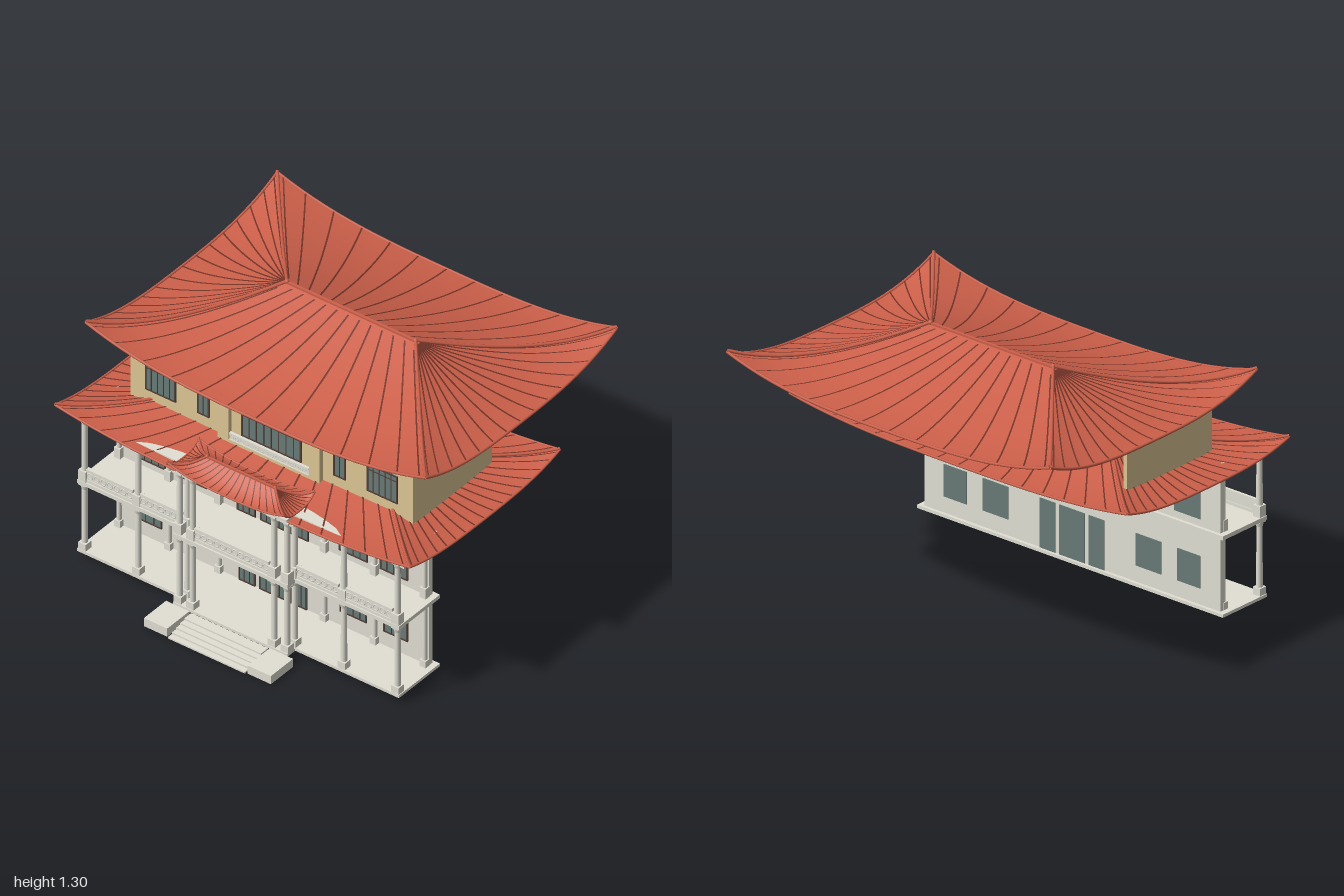
import * as THREE from 'three';
import { mergeGeometries } from 'three/addons/utils/BufferGeometryUtils.js';

const mat = (name, color, side = THREE.FrontSide) => {
  const m = new THREE.MeshStandardMaterial({ color, side });
  m.name = name;
  return m;
};

export function createModel() {
  const model = new THREE.Group();
  model.name = 'pavilion';
  const stone = mat('stone', 0xe2e0d4);
  const plaster = mat('ochre plaster', 0xdec796);
  const tile = mat('roof tile', 0xcd604a, THREE.DoubleSide);
  const rib = mat('dark tile rib', 0x743428);
  const frame = mat('window frame', 0x54403a);
  const glass = mat('window glass', 0x687b77);

  const group = (name) => {
    const g = new THREE.Group();
    g.name = name;
    model.add(g);
    return g;
  };
  const boxGeo = (x0, x1, y0, y1, z0, z1) =>
    new THREE.BoxGeometry(x1 - x0, y1 - y0, z1 - z0).translate((x0 + x1) / 2, (y0 + y1) / 2, (z0 + z1) / 2);
  const add = (parent, name, geo, material) => {
    const m = new THREE.Mesh(geo, material);
    m.name = name;
    parent.add(m);
    return m;
  };
  const box = (parent, name, material, ...b) => add(parent, name, boxGeo(...b), material);
  const bothSides = (fn) => [-1, 1].forEach(fn);
  const mirrored = (s, a, b) => (s > 0 ? [a, b] : [-b, -a]);

  // Upward-facing grid of points f(t, v), both running 0..1
  function sheet(nt, nv, f) {
    const pos = [], idx = [];
    for (let i = 0; i <= nt; i++)
      for (let j = 0; j <= nv; j++) pos.push(...f(i / nt, j / nv).toArray());
    for (let i = 0; i < nt; i++)
      for (let j = 0; j < nv; j++) {
        const a = i * (nv + 1) + j, b = a + nv + 1;
        idx.push(a, b, b + 1, a, b + 1, a + 1);
      }
    const geo = new THREE.BufferGeometry();
    geo.setAttribute('position', new THREE.Float32BufferAttribute(pos, 3));
    geo.setIndex(idx);
    geo.computeVertexNormals();
    return geo;
  }

  // Curved hip roof: t runs from ridge to eave, u along each slope
  function roof(name, o) {
    const g = group(name);
    const point = (k, t, u, up = 0) => {
      const X = o.ridgeX + (o.eaveX - o.ridgeX) * t;
      const Z = o.eaveZ * t;
      const y = o.eaveY + o.rise * (1 - t) ** 1.6 + o.lift * t ** 3 * Math.abs(u) ** 3 + up;
      const [x, z] = [[u * X, Z], [X, -u * Z], [-u * X, -Z], [-X, u * Z]][k];
      return new THREE.Vector3(x, y, z + o.z);
    };
    const tube = (f, r, n) => {
      const pts = Array.from({ length: n + 1 }, (_, i) => f(i / n));
      return new THREE.TubeGeometry(new THREE.CatmullRomCurve3(pts), n, r, 6);
    };
    const ribs = [], trim = [];
    for (let k = 0; k < 4; k++) {
      add(g, 'roofSlope', sheet(14, 28, (t, v) => point(k, t, v * 2 - 1)), tile);

      // Ribs lie on top of the tiles only
      const along = new THREE.Vector3(Math.cos(k * Math.PI / 2), 0, -Math.sin(k * Math.PI / 2));
      const ribAt = (u, t0) => ribs.push(sheet(14, 1, (t, v) =>
        point(k, t0 + (1 - t0) * t, u, 0.004).addScaledVector(along, (v - 0.5) * o.ribW)));
      const n = k % 2 ? o.sideRibs : o.frontRibs;
      for (let i = 1; i < n; i++) ribAt((2 * i) / n - 1, 0.03);
      bothSides((s) => ribAt(s * 0.965, 0.06));

      trim.push(tube((t) => point(k, 1, t * 2 - 1), o.edgeR, 28));
      trim.push(tube((t) => point(k, t, 1, o.edgeR), o.edgeR * 1.2, 12));
    }
    add(g, 'tileRibs', mergeGeometries(ribs), rib);
    add(g, 'eaveAndHipTrim', mergeGeometries(trim), tile);
    const top = o.eaveY + o.rise;
    box(g, 'mainRidge', tile, -o.ridgeX, o.ridgeX, top - 0.004, top + o.edgeR, o.z - o.edgeR, o.z + o.edgeR);
    bothSides((s) => add(g, 'ridgeFinial',
      new THREE.SphereGeometry(o.edgeR * 1.6, 10, 8).translate(s * o.ridgeX, top + o.edgeR * 0.8, o.z), tile));
  }
  roof('upperRoof', { z: -0.18, eaveX: 0.95, eaveZ: 0.701, ridgeX: 0.36, eaveY: 1.1, rise: 0.18,
    lift: 0.107, frontRibs: 12, sideRibs: 14, ribW: 0.009, edgeR: 0.007 });
  roof('lowerRoof', { z: 0.141, eaveX: 0.992, eaveZ: 0.55, ridgeX: 0.4, eaveY: 0.773, rise: 0.135,
    lift: 0.058, frontRibs: 16, sideRibs: 16, ribW: 0.009, edgeR: 0.006 });
  roof('porticoRoof', { z: 0.625, eaveX: 0.325, eaveZ: 0.113, ridgeX: 0.19, eaveY: 0.801, rise: 0.065,
    lift: 0.04, frontRibs: 14, sideRibs: 10, ribW: 0.006, edgeR: 0.005 });

  // Floors, ceiling and rear wall
  const body = group('body');
  box(body, 'groundFloor', stone, -0.9, 0.9, 0.037, 0.052, 0.348, 0.648);
  box(body, 'porticoFloor', stone, -0.32, 0.32, 0.037, 0.052, 0.648, 0.706);
  box(body, 'balconyFloor', stone, -0.9, 0.9, 0.414, 0.434, 0.348, 0.648);
  box(body, 'porticoBalcony', stone, -0.32, 0.32, 0.414, 0.434, 0.648, 0.706);
  box(body, 'ceiling', stone, -0.89, 0.89, 0.772, 0.786, 0.355, 0.645);
  box(body, 'porticoCeiling', stone, -0.31, 0.31, 0.772, 0.786, 0.645, 0.7);
  box(body, 'porticoBeam', stone, -0.3, 0.3, 0.757, 0.772, 0.67, 0.69);
  box(body, 'rearWall', stone, -0.87, 0.87, 0.052, 0.772, 0.365, 0.39);

  // Upper storey: front wall and two side walls, open at the rear
  const upper = group('upperStorey');
  box(upper, 'frontWall', plaster, -0.79, 0.79, 0.806, 1.109, 0.38, 0.4);
  bothSides((s) => box(upper, 'sideWall', plaster, s * 0.78 - 0.01, s * 0.78 + 0.01, 0.8, 1.112, -0.175, 0.38));

  // Centre bay: a slab with a stepped opening in front of the window
  const outline = (pts) => pts.map(([x, y]) => new THREE.Vector2(x, y));
  const bay = new THREE.Shape(outline([[-0.285, 0.81], [0.285, 0.81], [0.285, 1.102], [-0.285, 1.102]]));
  const [w, h, c] = [0.225, 1.04, 0.022];
  bay.holes.push(new THREE.Path(outline([[-w, 0.83], [w, 0.83], [w, h - c], [w - c, h - c],
    [w - c, h], [c - w, h], [c - w, h - c], [-w, h - c]])));
  add(upper, 'centreBay', new THREE.ExtrudeGeometry(bay, { depth: 0.025, bevelEnabled: false })
    .translate(0, 0, 0.4), plaster);

  // Window: glass plate, border, upright bars and a high transom
  function windowAt(parent, x0, x1, y0, y1, z, bars) {
    const f = 0.007, b = 0.002, zf = z + 0.007, ty = y1 - (y1 - y0) * 0.2;
    box(parent, 'windowGlass', glass, x0, x1, y0, y1, z - 0.001, z + 0.004);
    const parts = [
      boxGeo(x0, x0 + f, y0, y1, z, zf), boxGeo(x1 - f, x1, y0, y1, z, zf),
      boxGeo(x0, x1, y0, y0 + f, z, zf), boxGeo(x0, x1, y1 - f, y1, z, zf),
      boxGeo(x0, x1, ty - b, ty + b, z, zf),
    ];
    for (let i = 1; i < bars; i++) {
      const x = x0 + ((x1 - x0) * i) / bars;
      parts.push(boxGeo(x - b, x + b, y0, y1, z, zf));
    }
    add(parent, 'windowFrame', mergeGeometries(parts), frame);
  }
  const windows = group('windows');
  // [inner x, outer x, bottom, top, bars] on the positive side, mirrored
  const openings = [
    [0.375, 0.525, 0.132, 0.29, 4], [0.62, 0.755, 0.132, 0.29, 3], [0.098, 0.19, 0.052, 0.295, 3],
    [0.37, 0.53, 0.47, 0.685, 4], [0.6, 0.755, 0.47, 0.685, 4], [0.096, 0.2, 0.436, 0.685, 3],
  ];
  const centre = [[0.075, 0.052, 0.295], [0.07, 0.436, 0.685]];
  const rear = (...b) => box(windows, 'rearGlass', glass, ...b, 0.361, 0.366);
  bothSides((s) => {
    for (const [a, b, y0, y1, bars] of openings) {
      const [x0, x1] = mirrored(s, a, b);
      windowAt(windows, x0, x1, y0, y1, 0.39, bars);
      rear(x0, x1, y0, y1);
    }
    windowAt(windows, ...mirrored(s, 0.535, 0.705), 0.88, 1.032, 0.4, 5);
    windowAt(windows, ...mirrored(s, 0.348, 0.415), 0.88, 1.036, 0.4, 2);
  });
  for (const [half, y0, y1] of centre) {
    windowAt(windows, -half, half, y0, y1, 0.39, 4);
    rear(-half, half, y0, y1);
  }
  windowAt(windows, -0.167, 0.167, 0.865, 1.012, 0.4, 8);

  // Two-storey columns with plinths, capitals and brackets
  const columns = group('columns');
  function column(x, z, r) {
    const parts = [];
    for (const [y0, y1, plinth] of [[0.052, 0.414, 0.036], [0.434, 0.772, 0.055]]) {
      const p = r * 1.4;
      parts.push(boxGeo(x - p, x + p, y0, y0 + plinth, z - p, z + p));
      parts.push(new THREE.CylinderGeometry(r * 0.92, r, y1 - y0 - plinth, 16).translate(x, (y0 + plinth + y1) / 2, z));
      parts.push(new THREE.CylinderGeometry(r * 1.35, r, 0.022, 16).translate(x, y1 - 0.019, z));
      parts.push(boxGeo(x - p, x + p, y1 - 0.008, y1, z - p, z + p));
    }
    bothSides((s) => {
      const [a, b] = [x + s * r, x + s * r * 2.6].sort((m, n) => m - n);
      parts.push(boxGeo(a, b, 0.75, 0.772, z - 0.006, z + 0.006));
    });
    add(columns, 'column', mergeGeometries(parts), stone);
  }
  bothSides((s) => {
    for (const x of [0.875, 0.575, 0.3]) column(s * x, 0.625, 0.015);
    for (const x of [0.3, 0.228]) column(s * x, 0.681, 0.015);
    for (const x of [0.855, 0.575, 0.295]) column(s * x, 0.4, 0.012);
  });

  // Balustrades: rails and a thin panel carrying a row of rings
  const balustrades = group('balustrades');
  function balustrade(x0, x1, y0, y1, z, step) {
    const bh = y1 - y0, d = 0.007;
    const parts = [
      boxGeo(x0, x1, y1 - bh * 0.2, y1, z - d, z + d),
      boxGeo(x0, x1, y0, y0 + bh * 0.2, z - d, z + d),
      boxGeo(x0, x1, y0, y1 - bh * 0.1, z - 0.003, z + 0.003),
    ];
    const n = Math.round((x1 - x0) / step);
    for (let i = 0; i < n; i++) {
      const x = x0 + ((i + 0.5) * (x1 - x0)) / n;
      parts.push(new THREE.TorusGeometry(bh * 0.2, bh * 0.05, 6, 14).translate(x, y0 + bh * 0.5, z + 0.002));
    }
    add(balustrades, 'balustrade', mergeGeometries(parts), stone);
  }
  bothSides((s) => {
    balustrade(...mirrored(s, 0.595, 0.855), 0.434, 0.506, 0.634, 0.036);
    balustrade(...mirrored(s, 0.32, 0.555), 0.434, 0.506, 0.634, 0.036);
  });
  balustrade(-0.208, 0.208, 0.434, 0.506, 0.69, 0.036);
  balustrade(-0.222, 0.222, 0.825, 0.868, 0.417, 0.028);

  // Entrance steps between two low blocks
  const entrance = group('entranceSteps');
  for (let i = 0; i < 5; i++)
    box(entrance, 'step', stone, -0.215, 0.215, i * 0.008, (i + 1) * 0.008, 0.71, 0.88 - i * 0.03);
  bothSides((s) => box(entrance, 'stepBlock', stone, ...mirrored(s, 0.225, 0.355), 0, 0.045, 0.71, 0.872));

  return model;
}
